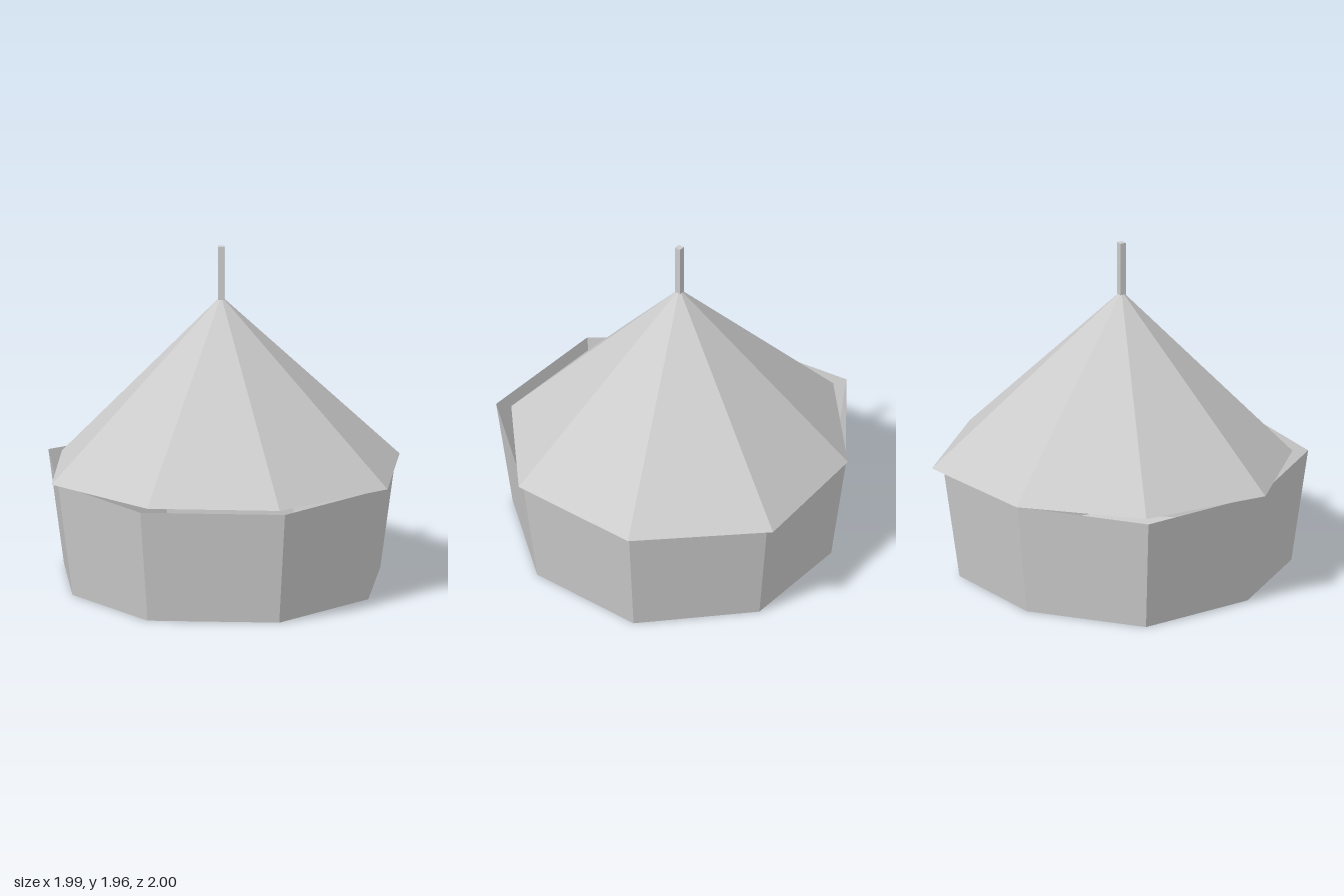
import * as THREE from 'three';

// Irregular octagon: one radius per corner, counter-clockwise from the front right-hand corner
function ring(radii, y, scale = 1) {
  return radii.map((r, k) => {
    const a = (k - 0.5) * Math.PI / 4;
    return new THREE.Vector3(r * scale * Math.sin(a), y, r * scale * Math.cos(a));
  });
}

// Flat-faced surface between two rings
function band(lower, upper) {
  const pts = [];
  lower.forEach((a, i) => {
    const j = (i + 1) % lower.length;
    pts.push(a, lower[j], upper[j], a, upper[j], upper[i]);
  });
  return surface(pts);
}

// Flat-faced fan from a ring to one point
function fan(rim, tip, down = false) {
  const pts = [];
  rim.forEach((a, i) => {
    const b = rim[(i + 1) % rim.length];
    pts.push(...(down ? [b, a] : [a, b]), tip);
  });
  return surface(pts);
}

function surface(pts) {
  const g = new THREE.BufferGeometry().setFromPoints(pts);
  g.computeVertexNormals();
  return g;
}

export function createModel() {
  const group = new THREE.Group();
  const canvas = new THREE.MeshStandardMaterial({
    name: 'pale grey', color: 0xcccccc, flatShading: true, side: THREE.DoubleSide,
  });
  const add = (name, geometry) => {
    const mesh = new THREE.Mesh(geometry, canvas);
    mesh.name = name;
    group.add(mesh);
    return mesh;
  };

  const wallRadii = [1.067, 1.077, 1.013, 1.05, 1.017, 0.98, 1.082, 0.98];
  const roofRadii = [0.977, 0.988, 1.042, 1.072, 1.083, 0.99, 0.997, 1.018];
  const wallBottom = ring(wallRadii, 0, 0.91);

  // Flared walls, open at the top, on a closed floor
  add('walls', band(wallBottom, ring(wallRadii, 0.653)));
  add('floor', fan(wallBottom, new THREE.Vector3(0, 0, 0), true));

  // Uneven pointed roof, open underneath
  add('roof', fan(ring(roofRadii, 0.655), new THREE.Vector3(0, 1.67, 0)));

  // Square pole at the peak
  add('pole', new THREE.BoxGeometry(0.036, 0.31, 0.036)).position.y = 1.805;

  return group;
}
